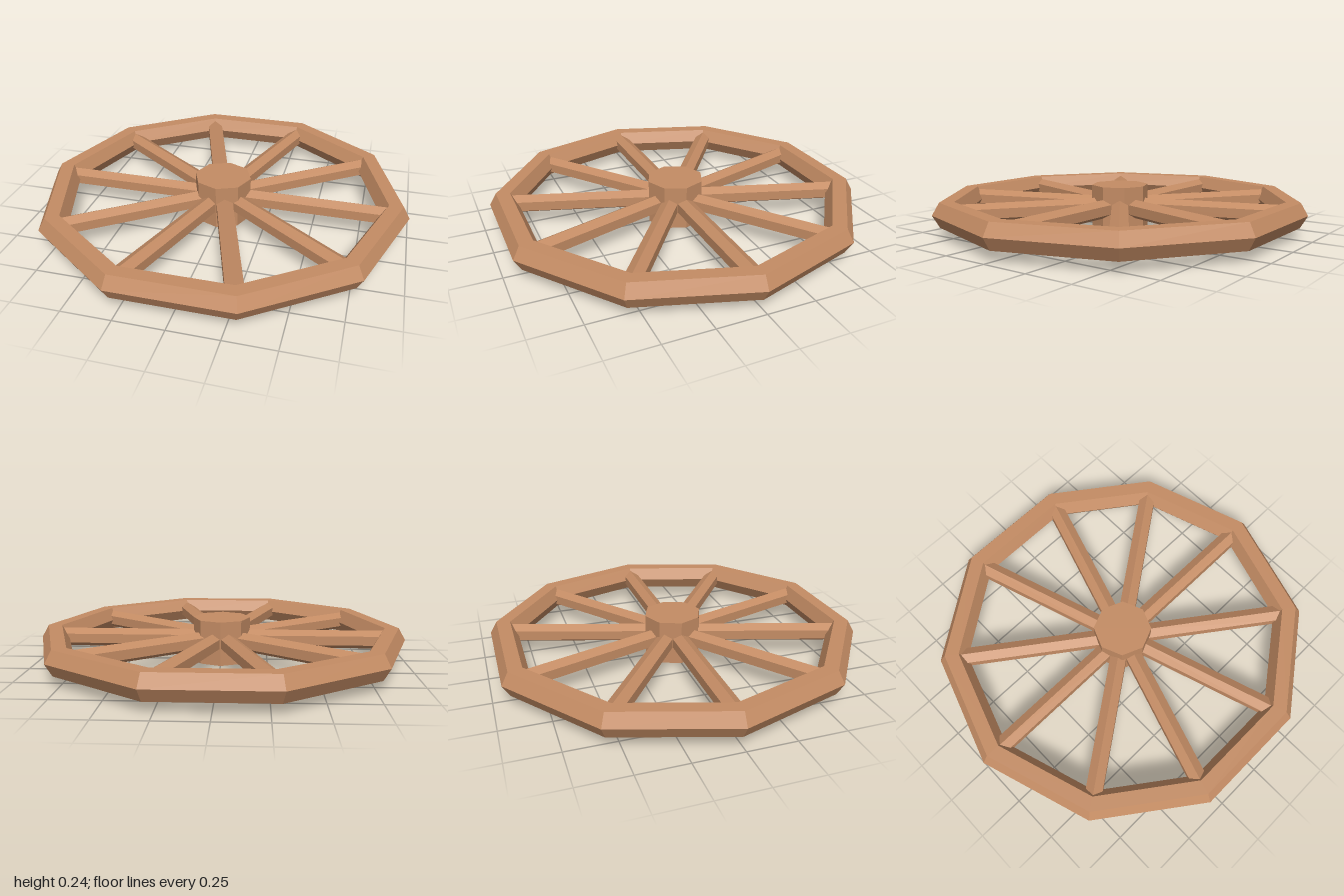
import * as THREE from 'three';

export function createModel() {
  const wheel = new THREE.Group();
  wheel.name = 'wagonWheel';
  const wood = new THREE.MeshStandardMaterial({ color: 0xc48c64, flatShading: true });
  const midY = 0.118, sides = 10;

  const add = (name, geometry) => {
    const mesh = new THREE.Mesh(geometry, wood);
    mesh.name = name;
    mesh.position.y = midY;
    wheel.add(mesh);
    return mesh;
  };

  // Ten-sided rim with a hexagonal section, lying flat
  add('rim', new THREE.TorusGeometry(0.925, 0.075, 6, sides).rotateX(Math.PI / 2));

  // Octagonal hub, corners on the axes
  add('hub', new THREE.CylinderGeometry(0.154, 0.154, 2 * midY, 8));

  // Hexagonal spokes with a ridge on top, one to each rim corner
  const inner = 0.06, outer = 0.885;
  const spoke = new THREE.CylinderGeometry(0.05, 0.05, outer - inner, 6)
    .rotateX(-Math.PI / 2)
    .translate(0, 0, (inner + outer) / 2)
    .rotateY(Math.PI / 2);
  for (let i = 0; i < sides; i++) {
    add('spoke' + (i + 1), spoke).rotation.y = (i / sides) * Math.PI * 2;
  }
  return wheel;
}
